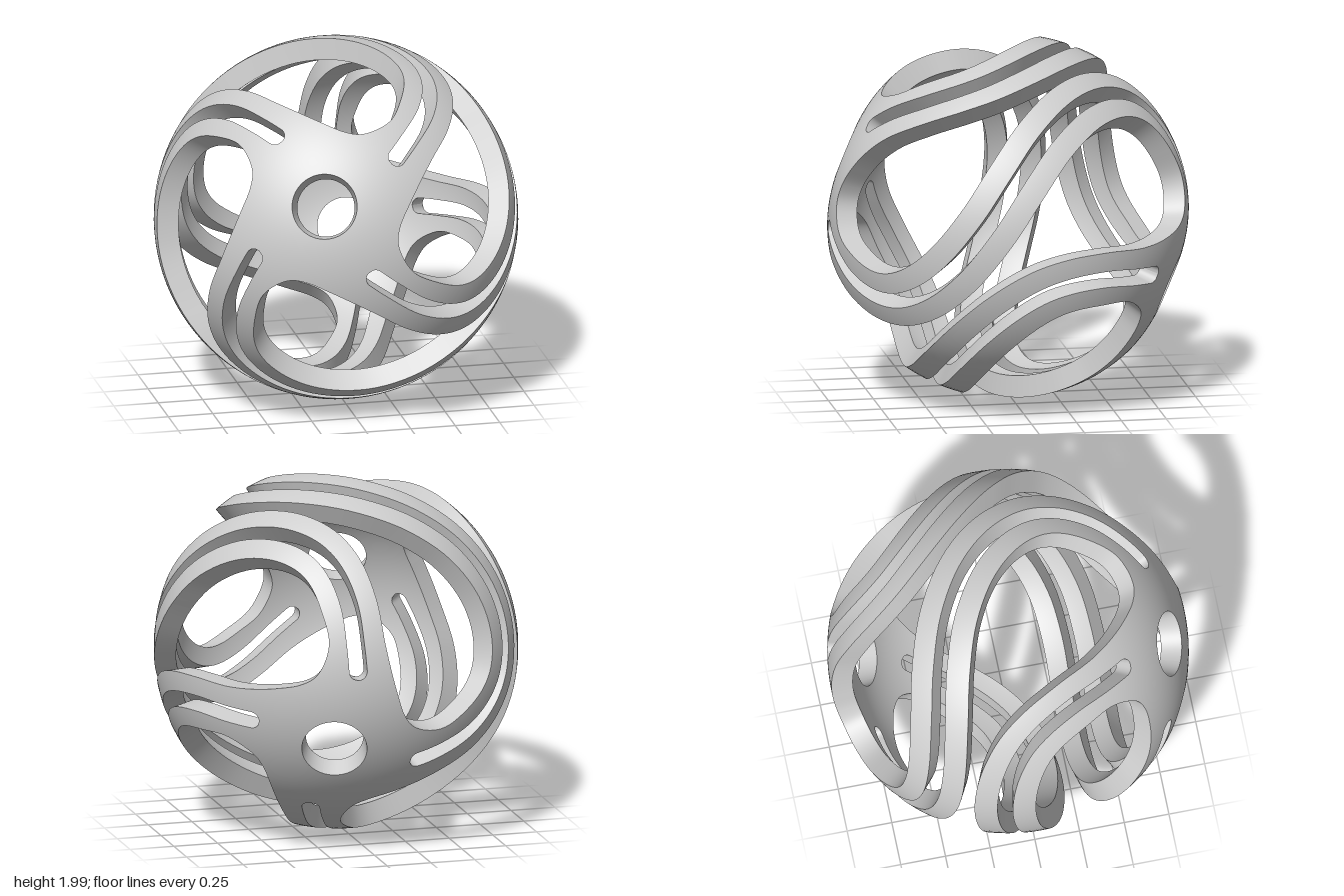
import * as THREE from 'three';
import { mergeGeometries } from 'three/addons/utils/BufferGeometryUtils.js';

const DEG = Math.PI / 180;
const INNER = 0.88;          // inner radius of the shell
const HOLE = 10.6;           // hub hole, degrees from the axis
const RIM_END = -85;         // where the slot line meets the hole rim
const ACROSS = 8;

// point on the unit sphere: angle from the hub axis, angle around it
const polar = (theta, phi) => new THREE.Vector3(
  Math.sin(theta * DEG) * Math.cos(phi * DEG),
  Math.sin(theta * DEG) * Math.sin(phi * DEG),
  Math.cos(theta * DEG));

// shell point at a given radius, with the hubs slightly flattened
function shellPoint(p, radius) {
  const theta = Math.acos(Math.min(1, p.z)) / DEG;
  return p.clone().multiplyScalar(radius * (1 - 0.035 * Math.exp(-((theta / 20) ** 2))));
}

// Slot line of one arm from hub to equator; the other half is its half-turn
const SLOT = [[26, -82], [36, -75.5], [49, -70], [60, -64], [68, -57.5],
  [75.5, -47.5], [82, -34], [87, -17], [90, 0]];
const slotCurve = new THREE.CatmullRomCurve3([
  ...SLOT.map(([t, p]) => polar(t, p)),
  ...SLOT.slice(0, -1).reverse().map(([t, p]) => polar(180 - t, -p))]);

// point beside the slot line, at step s along it; positive is to its left
function beside(s, dist) {
  const p = slotCurve.getPoint(s / 16).normalize();
  const left = p.clone().cross(slotCurve.getTangent(s / 16)).normalize();
  return p.multiplyScalar(Math.cos(dist)).addScaledVector(left, Math.sin(dist)).normalize();
}

// Window edge: along the right of the next arm, round the hub, then left of this arm
const toNextArm = p => p.applyAxisAngle(new THREE.Vector3(0, 0, 1), Math.PI / 2);
const WIDTHS = [0.156, 0.158, 0.162, 0.166, 0.169, 0.171, 0.172, 0.171];
const rightEdge = WIDTHS.map((w, i) => toNextArm(beside(i + 2, -w))).reverse();
const leftEdge = WIDTHS.map((w, i) => beside(i + 2, w));
const windowCurve = new THREE.CatmullRomCurve3([
  ...rightEdge,
  polar(40, 0.5), polar(33, -9), polar(28, -22),
  polar(25.5, -38),
  polar(26.5, -50), polar(30.5, -57.5), polar(37, -61),
  ...leftEdge]);
const MIDDLE = 11, SPANS = 22;

// Quad grid from rows of points; radial = +1/-1 gives smooth spherical normals
function grid(rows, flip, radial = 0) {
  const pos = [], idx = [], n = rows[0].length;
  rows.forEach(row => row.forEach(p => pos.push(p.x, p.y, p.z)));
  for (let i = 0; i < rows.length - 1; i++) {
    for (let j = 0; j < n - 1; j++) {
      const a = i * n + j, b = a + n, c = a + 1, d = b + 1;
      if (flip) idx.push(a, c, b, b, c, d);
      else idx.push(a, b, c, b, d, c);
    }
  }
  const g = new THREE.BufferGeometry();
  g.setAttribute('position', new THREE.Float32BufferAttribute(pos, 3));
  g.setIndex(idx);
  g.computeVertexNormals();
  if (radial) {
    rows.flat().forEach((p, k) => {
      const v = p.clone().normalize().multiplyScalar(radial);
      g.attributes.normal.setXYZ(k, v.x, v.y, v.z);
    });
  }
  return g;
}

// Half a band with its share of the hub; side +1 is left of the slot, -1 right
function bandGeometry(side) {
  const flip = side < 0;
  const middle = side > 0 ? -38 : -128;
  const slotHalf = s => {
    const x = Math.min(1, s / 0.28);
    return 0.05 * Math.sqrt(1 - (1 - x) ** 2) - 0.0013 * s;
  };
  const windowSide = step => {
    const p = windowCurve.getPoint((MIDDLE + side * step) / SPANS).normalize();
    return side > 0 ? p : p.applyAxisAngle(new THREE.Vector3(0, 0, 1), -Math.PI / 2);
  };

  const stations = [];       // pairs of [slot or hole side, window side]
  const slotEnd = beside(0, 0), rim = polar(HOLE, RIM_END);
  const N1 = 12, N2 = 6, N3 = 64;
  // around the hub hole
  for (let i = 0; i <= N1; i++) {
    const f = i / N1;
    stations.push([polar(HOLE, middle + (RIM_END - middle) * f), windowSide(f)]);
  }
  // from the hole out to the slot
  for (let i = 1; i < N2; i++) {
    const f = i / N2;
    stations.push([rim.clone().lerp(slotEnd, f).normalize(), windowSide(1 + 0.5 * f)]);
  }
  // along the slot to the equator
  for (let i = 0; i <= N3; i++) {
    const s = 8 * Math.pow(i / N3, 1.6);
    stations.push([beside(s, side * Math.max(0, slotHalf(s))),
      windowSide(s < 1 ? 1.5 + 1.5 * s : s + 2)]);
  }

  const skin = r => stations.map(([a, b]) => Array.from({ length: ACROSS + 1 }, (_, j) =>
    shellPoint(a.clone().lerp(b, j / ACROSS).normalize(), r)));
  const wall = (list, k) => list.map(st => [shellPoint(st[k], 1), shellPoint(st[k], INNER)]);
  return mergeGeometries([
    grid(skin(1), flip, 1),
    grid(skin(INNER), !flip, -1),
    grid(wall(stations, 1), flip),
    grid(wall(stations.slice(0, N1 + 1), 0), !flip),
    grid(wall(stations.slice(N1 + N2), 0), !flip),
  ]);
}

export function createModel() {
  const model = new THREE.Group();
  model.name = 'spiralBandSphere';
  const material = new THREE.MeshStandardMaterial({ color: 0xcccccc });
  const left = bandGeometry(1), right = bandGeometry(-1);

  const shell = new THREE.Group();
  shell.name = 'shell';
  // two opposite hubs, each with four swirling split arms
  for (let hub = 0; hub < 2; hub++) {
    const hubGroup = new THREE.Group();
    hubGroup.name = hub ? 'backHub' : 'frontHub';
    hubGroup.rotation.x = hub * Math.PI;
    for (let k = 0; k < 4; k++) {
      const arm = new THREE.Group();
      arm.name = 'arm';
      arm.rotation.z = k * Math.PI / 2;
      [[left, 'leftBand'], [right, 'rightBand']].forEach(([g, name]) => {
        const mesh = new THREE.Mesh(g, material);
        mesh.name = name;
        arm.add(mesh);
      });
      hubGroup.add(arm);
    }
    shell.add(hubGroup);
  }

  // tilt the hub axis and turn the arms around it
  const axis = new THREE.Vector3(-0.27, 0.37, 0.89).normalize();
  const xDir = new THREE.Vector3(0.97, 0.2, 0.17);
  xDir.addScaledVector(axis, -xDir.dot(axis)).normalize().applyAxisAngle(axis, 13 * DEG);
  const yDir = axis.clone().cross(xDir);
  shell.quaternion.setFromRotationMatrix(new THREE.Matrix4().makeBasis(xDir, yDir, axis));
  shell.position.y = 1;
  model.add(shell);
  return model;
}
